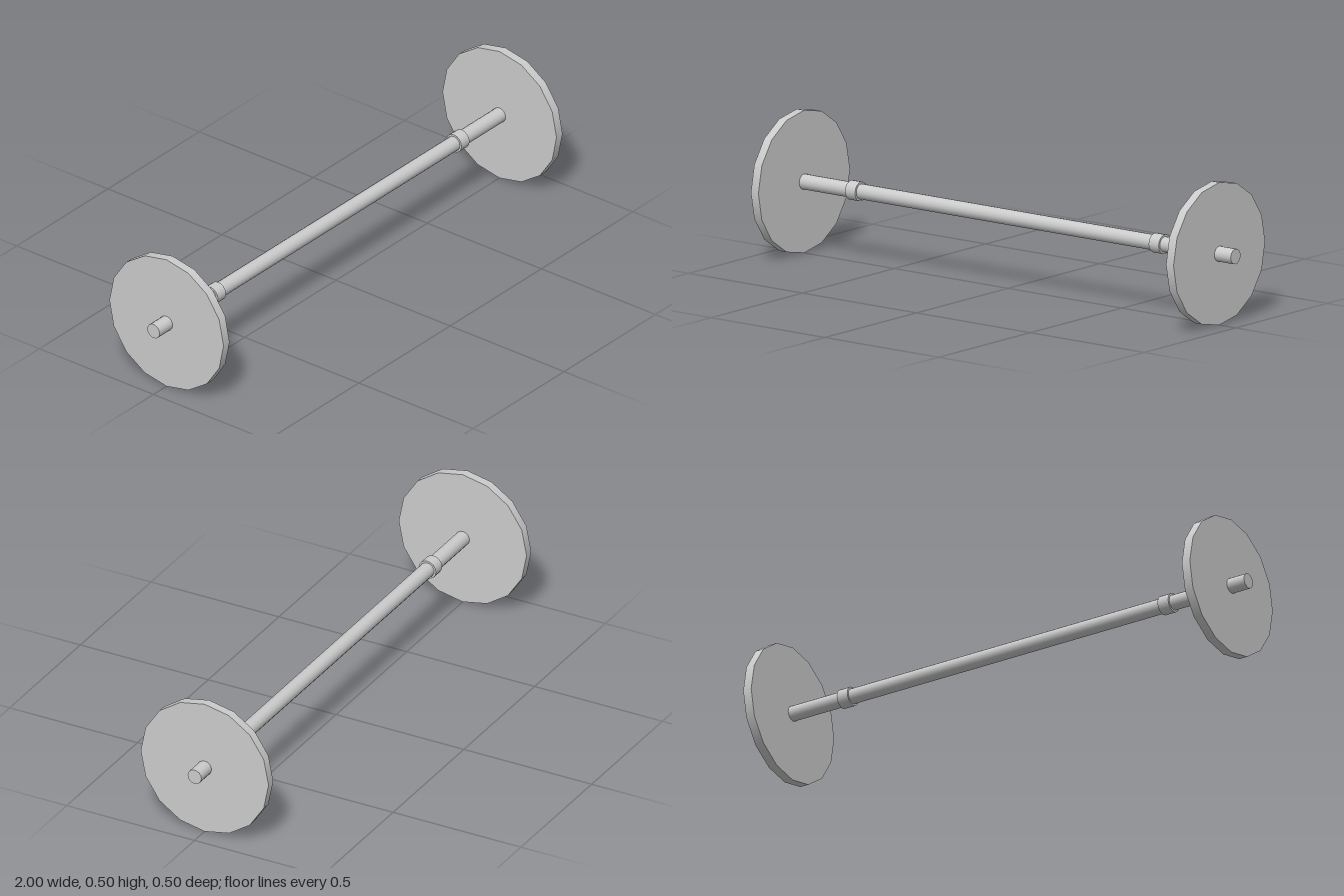
import * as THREE from 'three';

export function createModel() {
  const model = new THREE.Group();
  const material = new THREE.MeshStandardMaterial({ color: 0xcccccc });
  const axisHeight = 0.25;

  // Cylinder lying along x, centred on the shared axis
  function addCylinder(name, radius, length, x, sides = 16) {
    const geometry = new THREE.CylinderGeometry(radius, radius, length, sides);
    geometry.rotateZ(Math.PI / 2);
    const mesh = new THREE.Mesh(geometry, material);
    mesh.name = name;
    mesh.position.set(x, axisHeight, 0);
    model.add(mesh);
  }

  // Long bar running through both plates
  addCylinder('bar', 0.027, 2, 0);

  // One collar and one plate per end
  for (const [side, s] of [['left', 1], ['right', -1]]) {
    addCylinder(side + 'Collar', 0.034, 0.044, s * 0.667);
    addCylinder(side + 'Plate', 0.25, 0.033, s * 0.912);
  }

  return model;
}
